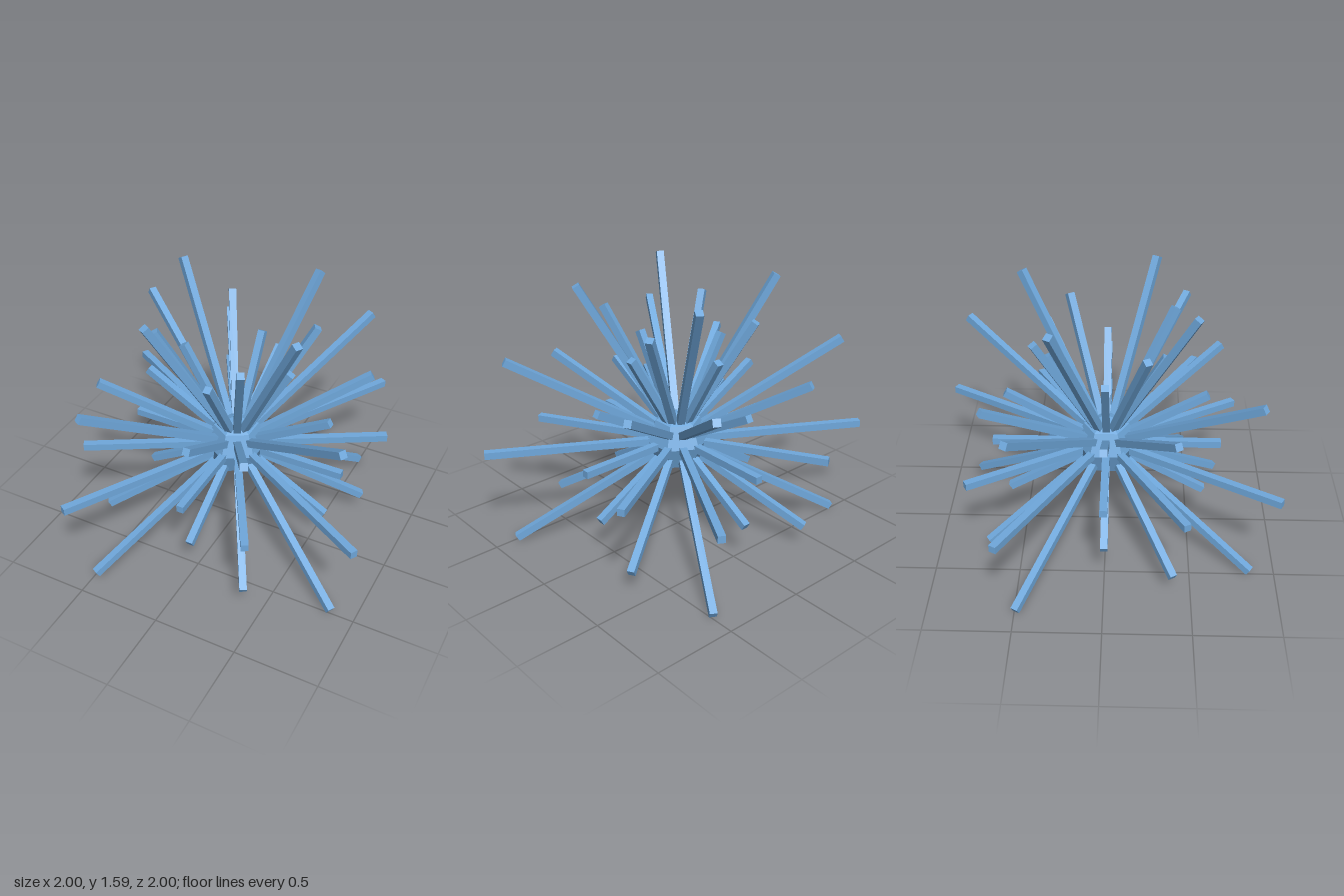
import * as THREE from 'three';

const CENTRE_Y = 0.59;
const THICKNESS = 0.043;
const INNER = 0.17;
const LENGTHS = [0.685, 1.142, 0.913]; // repeats every quarter turn

export function createModel() {
  const model = new THREE.Group();
  model.name = 'spikyBurst';
  const blue = new THREE.MeshStandardMaterial({ color: 0x6fa8dc, flatShading: true });
  blue.name = 'light blue';

  // Faceted core, corners on the z axis
  const core = new THREE.Mesh(new THREE.SphereGeometry(0.19, 6, 4), blue);
  core.name = 'core';
  core.position.y = CENTRE_Y;
  core.rotation.y = Math.PI / 6;
  model.add(core);

  // One bar geometry per length, reaching outwards along +x
  const bars = LENGTHS.map((end) =>
    new THREE.BoxGeometry(end - INNER, THICKNESS, THICKNESS).translate((INNER + end) / 2, 0, 0));

  // Four rings of twelve spikes
  for (const elevation of [-30, 0, 30, 60]) {
    const ring = new THREE.Group();
    ring.name = `spikeRing${elevation}`;
    ring.position.y = CENTRE_Y;
    for (let i = 0; i < 12; i++) {
      const spike = new THREE.Mesh(bars[i % 3], blue);
      spike.name = 'spike';
      spike.rotation.set(0, -i * Math.PI / 6, THREE.MathUtils.degToRad(elevation), 'YZX');
      ring.add(spike);
    }
    model.add(ring);
  }
  return model;
}
